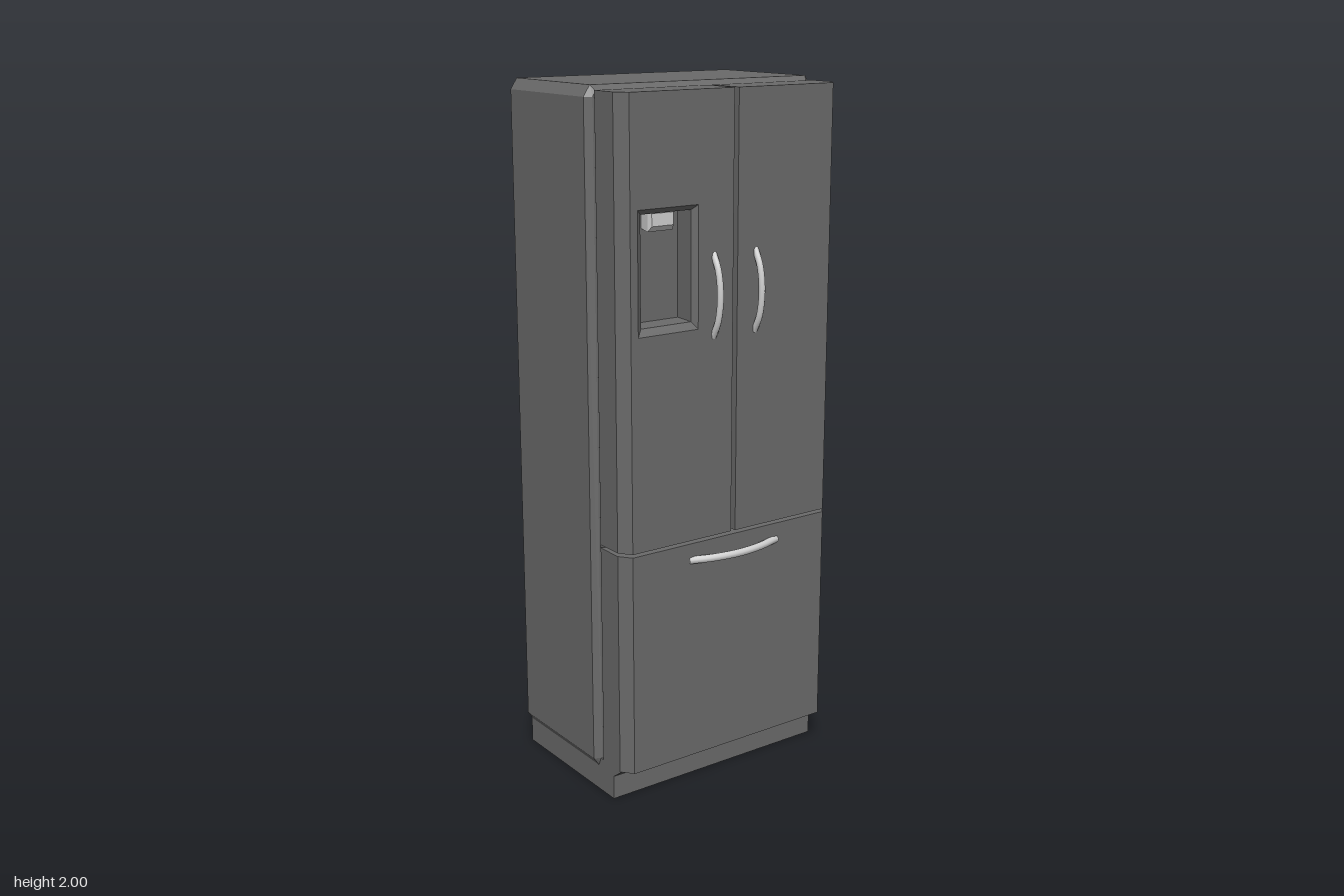
import * as THREE from 'three';

const bodyMat = new THREE.MeshStandardMaterial({ color: 0x6a6a6a });
bodyMat.name = 'dark grey steel';
const handleMat = new THREE.MeshStandardMaterial({ color: 0xd0d0d0 });
handleMat.name = 'pale metal';

function add(parent, name, geometry, material = bodyMat) {
  const mesh = new THREE.Mesh(geometry, material);
  mesh.name = name;
  parent.add(mesh);
  return mesh;
}

// Flat-faced skin over counter-clockwise loops of [x, y, z] points
function loft(loops, capStart, capEnd) {
  const pos = [];
  const tri = (a, b, c) => pos.push(...a, ...b, ...c);
  const n = loops[0].length;
  for (let k = 0; k < loops.length - 1; k++) {
    for (let i = 0; i < n; i++) {
      const j = (i + 1) % n, a = loops[k], b = loops[k + 1];
      tri(a[i], a[j], b[j]);
      tri(a[i], b[j], b[i]);
    }
  }
  const first = loops[0], last = loops[loops.length - 1];
  for (let i = 1; i < n - 1; i++) {
    if (capStart) tri(first[0], first[i + 1], first[i]);
    if (capEnd) tri(last[0], last[i], last[i + 1]);
  }
  const g = new THREE.BufferGeometry();
  g.setAttribute('position', new THREE.Float32BufferAttribute(pos, 3));
  g.computeVertexNormals();
  return g;
}

// Rectangle with cut corners at depth z
function octagon(x, y0, y1, cx, cy, z) {
  return [
    [-x + cx, y0, z], [x - cx, y0, z], [x, y0 + cy, z], [x, y1 - cy, z],
    [x - cx, y1, z], [-x + cx, y1, z], [-x, y1 - cy, z], [-x, y0 + cy, z],
  ];
}

const rect = (x0, x1, y0, y1, z) => [[x0, y0, z], [x1, y0, z], [x1, y1, z], [x0, y1, z]];

const polygon = (points) => new THREE.Shape(points.map(([x, y]) => new THREE.Vector2(x, y)));

// Upright prism from an [x, z] plan
function prism(plan, y0, y1) {
  const g = new THREE.ExtrudeGeometry(polygon(plan.map(([x, z]) => [x, -z])),
    { depth: y1 - y0, bevelEnabled: false });
  return g.rotateX(-Math.PI / 2).translate(0, y0, 0);
}

// Bowed bar handle through a list of points
function handle(parent, name, points, radius) {
  const curve = new THREE.CatmullRomCurve3(points.map((p) => new THREE.Vector3(...p)));
  add(parent, name, new THREE.TubeGeometry(curve, 16, radius, 10), handleMat);
}

export function createModel() {
  const model = new THREE.Group();
  model.name = 'refrigerator';

  // Cabinet with chamfered edges
  add(model, 'cabinet', loft([
    octagon(0.36, 0.085, 1.985, 0.008, 0.015, -0.288),
    octagon(0.38, 0.07, 2, 0.02, 0.03, -0.268),
    octagon(0.38, 0.07, 2, 0.02, 0.03, 0.103),
    octagon(0.36, 0.085, 1.985, 0.008, 0.015, 0.116),
  ], true, true));

  // Plinth, sloping out to meet the drawer
  const plinth = new THREE.ExtrudeGeometry(
    polygon([[0.275, 0], [0.275, 0.1], [-0.22, 0.1], [-0.18, 0.07], [-0.18, 0]]),
    { depth: 0.726, bevelEnabled: false });
  plinth.rotateY(Math.PI / 2).translate(-0.363, 0, 0);
  add(model, 'plinth', plinth);

  // Recessed seal between cabinet and doors
  const seal = add(model, 'doorSeal', new THREE.BoxGeometry(0.71, 1.87, 0.03));
  seal.position.set(0, 1.04, 0.12);

  // Freezer drawer
  const back = 0.13, front = 0.25, side = 0.364, cut = 0.026, cutZ = 0.215;
  add(model, 'freezerDrawer', prism([
    [-side, back], [side, back], [side, cutZ], [side - cut, front],
    [-side + cut, front], [-side, cutZ],
  ], 0.1, 0.748));

  // Left door (model's left)
  const y0 = 0.757, y1 = 1.988;
  add(model, 'leftDoor', prism([
    [0.012, back], [side, back], [side, cutZ], [side - cut, front], [0.012, front],
  ], y0, y1));

  // Right door: back slab, chamfered edge and a front panel cut for the dispenser
  const rightDoor = new THREE.Group();
  rightDoor.name = 'rightDoor';
  model.add(rightDoor);
  const inner = -0.003, mid = 0.17, edge = -side + cut;
  add(rightDoor, 'rightDoorBack',
    prism([[-side, back], [inner, back], [inner, mid], [-side, mid]], y0, y1));
  add(rightDoor, 'rightDoorEdge',
    prism([[-side, mid], [edge, mid], [edge, front], [-side, cutZ]], y0, y1));
  const panel = polygon([[edge, y0], [inner, y0], [inner, y1], [edge, y1]]);
  panel.holes.push(polygon([[-0.315, 1.355], [-0.315, 1.69], [-0.12, 1.69], [-0.12, 1.355]]));
  const panelGeo = new THREE.ExtrudeGeometry(panel, { depth: front - mid, bevelEnabled: false });
  add(rightDoor, 'rightDoorPanel', panelGeo.translate(0, 0, mid));

  // Dispenser: sloping rim, recess and spout
  add(rightDoor, 'dispenserRecess', loft([
    rect(-0.315, -0.12, 1.355, 1.69, front),
    rect(-0.297, -0.134, 1.375, 1.676, 0.236),
    rect(-0.295, -0.136, 1.378, 1.674, 0.178),
  ], false, true));
  add(rightDoor, 'dispenserSpout', loft([
    rect(-0.255, -0.185, 1.63, 1.674, 0.178),
    rect(-0.26, -0.18, 1.625, 1.674, 0.215),
    rect(-0.255, -0.185, 1.64, 1.674, 0.228),
  ], true, true), handleMat);

  // Handles
  for (const [name, x] of [['rightDoorHandle', -0.066], ['leftDoorHandle', 0.076]]) {
    handle(model, name, [
      [x, 1.325, 0.244], [x, 1.37, 0.267], [x, 1.44, 0.277], [x, 1.51, 0.267], [x, 1.555, 0.244],
    ], 0.009);
  }
  handle(model, 'drawerHandle', [
    [-0.145, 0.698, 0.244], [-0.075, 0.698, 0.266], [0.01, 0.698, 0.276],
    [0.095, 0.698, 0.266], [0.165, 0.698, 0.244],
  ], 0.011);

  return model;
}
